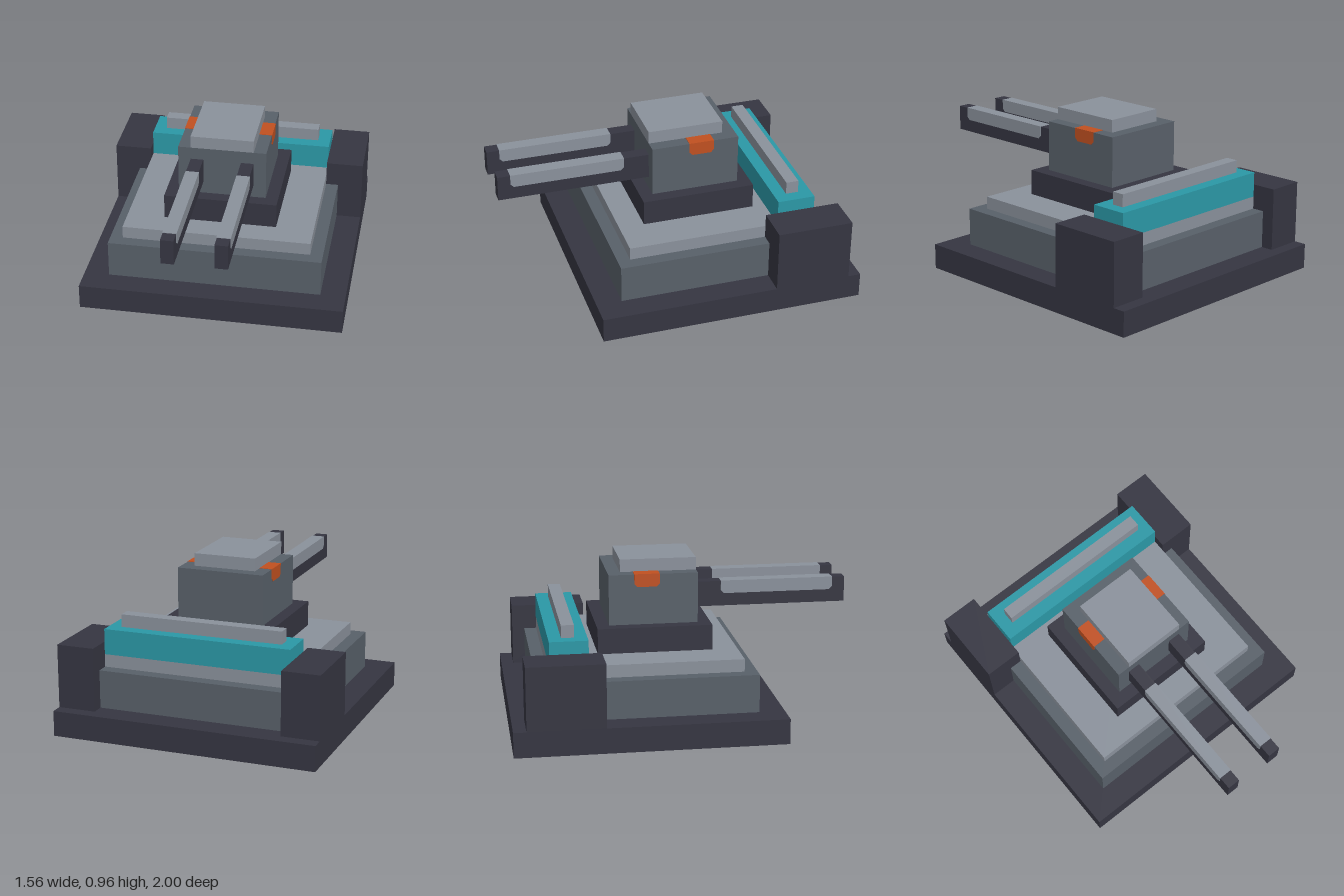
import * as THREE from 'three';

const U = 2 / 27; // one block

const mat = (name, color) => {
  const m = new THREE.MeshStandardMaterial({ color });
  m.name = name;
  return m;
};

export function createModel() {
  const group = new THREE.Group();
  const dark = mat('dark armour', 0x353541);
  const mid = mat('mid grey', 0x586069);
  const light = mat('light grey', 0x8a919b);
  const teal = mat('teal', 0x2b98a6);
  const orange = mat('orange', 0xc05020);

  const add = (name, geometry, material) => {
    const mesh = new THREE.Mesh(geometry, material);
    mesh.name = name;
    group.add(mesh);
    return mesh;
  };

  // Box from its bounds, in blocks
  const block = (name, material, x0, x1, y0, y1, z0, z1) => {
    const g = new THREE.BoxGeometry((x1 - x0) * U, (y1 - y0) * U, (z1 - z0) * U);
    g.translate((x0 + x1) / 2 * U, (y0 + y1) / 2 * U, (z0 + z1) / 2 * U);
    return add(name, g, material);
  };

  // Thin-skinned inlay across x with clipped lower corners
  const inlay = (name, material, x0, x1, y0, y1, z0, z1) => {
    const c = 0.25, e = 0.03;
    const s = new THREE.Shape([
      [-z0, y1 + e], [-z1, y1 + e], [-z1, y0 + c], [-z1 + c, y0], [-z0 - c, y0], [-z0, y0 + c],
    ].map(([a, b]) => new THREE.Vector2(a * U, b * U)));
    const g = new THREE.ExtrudeGeometry(s, { depth: (x1 - x0 + 2 * e) * U, bevelEnabled: false });
    g.rotateY(Math.PI / 2);
    g.translate((x0 - e) * U, 0, 0);
    return add(name, g, material);
  };

  // Stepped hull
  block('base', dark, -10.5, 10.5, 0, 2, -13.5, 7.5);
  block('hull', mid, -8.5, 8.5, 2, 5, -11.5, 5.5);
  block('deck', light, -7.5, 7.5, 5, 6, -10.5, 4.5);

  // Rear power bank
  block('rearBank', teal, -7.5, 7.5, 6, 8, -10.5, -7.5);
  block('rearRail', light, -6.5, 6.5, 8, 9, -9.5, -8.5);

  // Turret
  block('turretMount', dark, -4.5, 4.5, 6, 8, -6.5, 2.5);
  block('turret', mid, -3.5, 3.5, 8, 12, -5.5, 1.5);
  block('turretCap', light, -2.5, 2.5, 12, 13, -4.5, 1.5);

  // Mirrored towers, barrels and side lamps
  for (const [side, s] of [['left', 1], ['right', -1]]) {
    const span = (a, b) => (s > 0 ? [a, b] : [-b, -a]);
    block(side + 'Tower', dark, ...span(7.5, 10.5), 2, 7, -12.5, -6.5);
    block(side + 'Barrel', dark, ...span(1.5, 2.5), 9, 11, 1.5, 13.5);
    inlay(side + 'BarrelSleeve', light, ...span(1.5, 2.5), 10, 11, 3.5, 12.5);
    inlay(side + 'Lamp', orange, ...span(2.5, 3.5), 11, 12, -3.5, -1.5);
  }
  return group;
}
